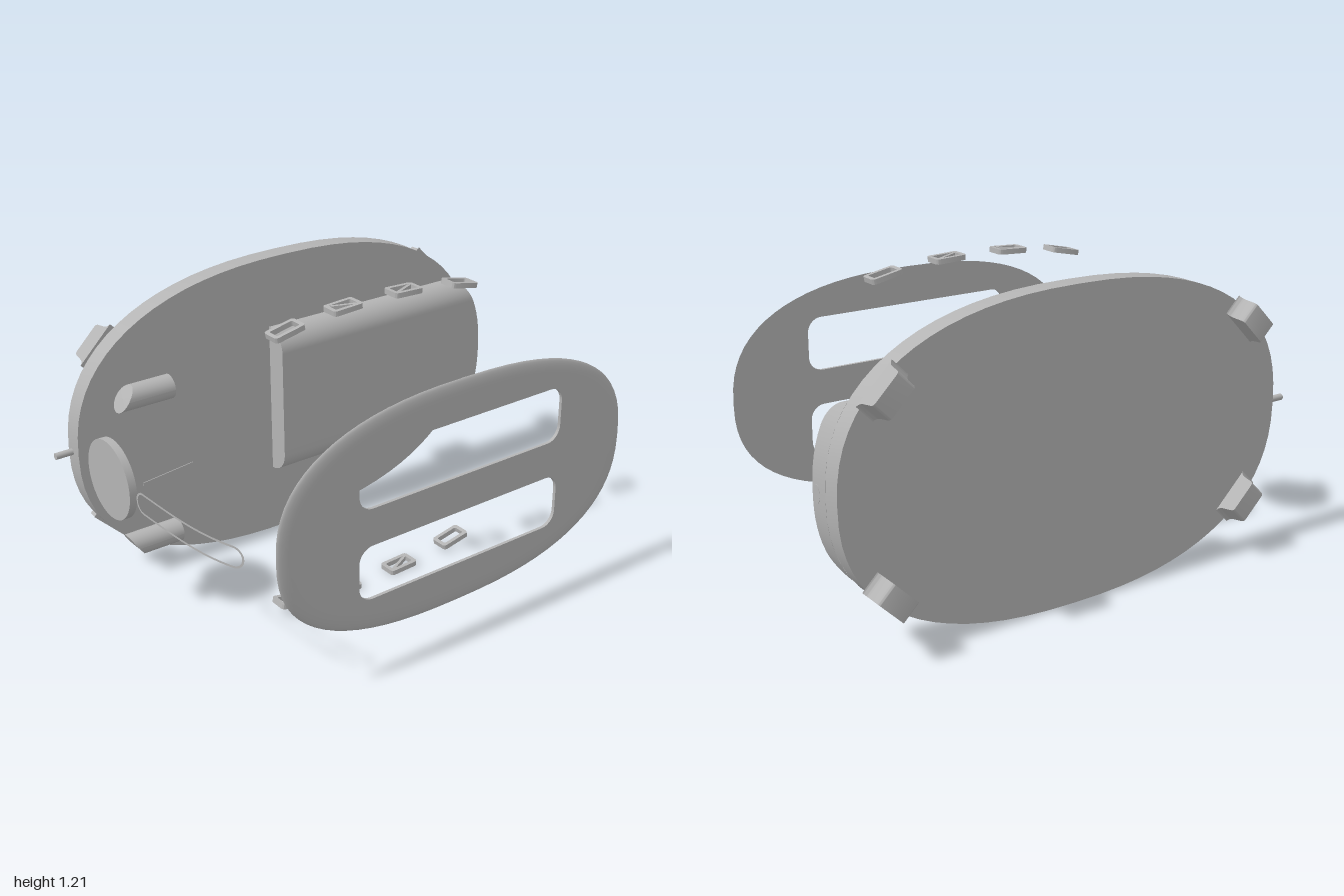
import * as THREE from 'three';
import { toCreasedNormals } from 'three/addons/utils/BufferGeometryUtils.js';

const CX = 0.035, CY = 0.605, A = 0.965, B = 0.604, N = 2.38;

// points of a superellipse
function oval(cx, a, b, n, count = 72) {
  const pts = [];
  for (let i = 0; i < count; i++) {
    const t = (i / count) * Math.PI * 2, c = Math.cos(t), s = Math.sin(t);
    pts.push(new THREE.Vector2(
      cx + a * Math.sign(c) * Math.abs(c) ** (2 / n),
      CY + b * Math.sign(s) * Math.abs(s) ** (2 / n)));
  }
  return pts;
}
// half width and half height of the base outline
const halfX = y => A * Math.max(0, 1 - Math.abs((y - CY) / B) ** N) ** (1 / N);
const halfY = x => B * Math.max(0, 1 - Math.abs((x - CX) / A) ** N) ** (1 / N);

// surface from a rule giving [x, y, z] for every row and column
function grid(rows, cols, rule) {
  const pos = [], idx = [];
  for (let i = 0; i <= rows; i++) for (let j = 0; j <= cols; j++) pos.push(...rule(i, j));
  for (let i = 0; i < rows; i++) for (let j = 0; j < cols; j++) {
    const a = i * (cols + 1) + j, b = a + cols + 1;
    idx.push(a, b, a + 1, b, b + 1, a + 1);
  }
  const g = new THREE.BufferGeometry();
  g.setAttribute('position', new THREE.Float32BufferAttribute(pos, 3));
  g.setIndex(idx);
  g.computeVertexNormals();
  return g;
}

function roundRect(path, x0, y0, x1, y1, r) {
  path.absarc(x1 - r, y0 + r, r, -Math.PI / 2, 0);
  path.absarc(x1 - r, y1 - r, r, 0, Math.PI / 2);
  path.absarc(x0 + r, y1 - r, r, Math.PI / 2, Math.PI);
  path.absarc(x0 + r, y0 + r, r, Math.PI, Math.PI * 1.5);
  path.closePath();
  return path;
}
const extrude = (shape, depth) => toCreasedNormals(
  new THREE.ExtrudeGeometry(shape, { depth, bevelEnabled: false, curveSegments: 10 }), 0.5);

export function createModel() {
  const model = new THREE.Group();
  const grey = new THREE.MeshStandardMaterial({ color: 0xb4b4b4, side: THREE.DoubleSide });
  grey.name = 'plain grey';
  const add = (name, geometry, parent = model) => {
    const mesh = new THREE.Mesh(geometry, grey);
    mesh.name = name;
    parent.add(mesh);
    return mesh;
  };

  // oval back plate
  add('backPlate', extrude(new THREE.Shape(oval(CX, A, B, N)), 0.08)).position.z = -0.55;

  // four flared feet on the rim of the back plate
  const foot = new THREE.Shape();
  foot.moveTo(-0.095, 0);
  foot.quadraticCurveTo(-0.078, 0.005, -0.075, 0.03);
  foot.lineTo(-0.07, 0.062);
  foot.quadraticCurveTo(-0.068, 0.077, -0.055, 0.077);
  foot.lineTo(0.055, 0.077);
  foot.quadraticCurveTo(0.068, 0.077, 0.07, 0.062);
  foot.lineTo(0.075, 0.03);
  foot.quadraticCurveTo(0.078, 0.005, 0.095, 0);
  const footGeo = extrude(foot, 0.085);
  for (const sx of [-1, 1]) for (const sy of [-1, 1]) {
    const out = new THREE.Vector3(sx, sy, 0).normalize();
    const mesh = add('foot', footGeo);
    mesh.quaternion.setFromRotationMatrix(new THREE.Matrix4().makeBasis(
      new THREE.Vector3(out.y, -out.x, 0), new THREE.Vector3(0, 0, -1), out));
    mesh.position.set(CX + sx * 0.79, CY + sy * 0.362, -0.55).addScaledVector(out, -0.045);
  }

  // rounded housing whose outer end follows the plate outline
  const housing = new THREE.Group();
  housing.name = 'housing';
  model.add(housing);
  const R = 0.09, Y0 = 0.29, Y1 = 0.92, profile = [];
  for (let i = 0; i <= 10; i++) {
    const t = (i / 10) * Math.PI / 2;
    profile.push([Y0 + R - R * Math.cos(t), -0.47 + R * Math.sin(t)]);
  }
  for (let i = 1; i < 14; i++) profile.push([Y0 + R + (Y1 - Y0 - 2 * R) * i / 14, -0.38]);
  for (let i = 10; i >= 0; i--) {
    const t = (i / 10) * Math.PI / 2;
    profile.push([Y1 - R + R * Math.cos(t), -0.47 + R * Math.sin(t)]);
  }
  const last = profile.length - 1;
  const endX = y => CX + halfX(y);
  add('housingShell', grid(last, 1, (i, j) => {
    const [y, z] = profile[i];
    return [j ? -0.055 : endX(y), y, z];
  }), housing);
  add('housingOuterEnd', grid(last, 1, (i, j) => {
    const [y, z] = profile[i];
    return [endX(y), y, j ? z : -0.47];
  }), housing);
  add('housingInnerEnd', grid(last, 1, (i, j) => {
    const [y, z] = profile[i];
    return [-0.055, y, j ? -0.47 : z];
  }), housing);
  const port = add('port', new THREE.CylinderGeometry(1, 1, 0.006, 24), housing);
  port.rotation.z = Math.PI / 2;
  port.scale.set(0.034, 1, 0.02);
  port.position.set(0.998, CY, -0.41);

  // front panel with two windows
  const panel = new THREE.Group();
  panel.name = 'frontPanel';
  model.add(panel);
  const PX = 0.03, PA = 0.805, PB = 0.45, PN = 2.5, inset = 0.06, Z0 = 0.612, rise = 0.013;
  const face = new THREE.Shape(oval(PX, PA - inset, PB - inset, PN));
  for (const [lo, hi] of [[0.32, 0.535], [0.68, 0.9]])
    face.holes.push(roundRect(new THREE.Path(), -0.44, lo, 0.5, hi, 0.06));
  add('panelFace', extrude(face, rise), panel).position.z = Z0;
  // curved rim around the panel, closed at the back
  const steps = 6, rings = [];
  for (let i = 0; i <= steps; i++) {
    const t = (i / steps) * Math.PI / 2, d = inset * (1 - Math.cos(t));
    rings.push({ pts: oval(PX, PA - d, PB - d, PN), z: Z0 + rise * Math.sin(t) });
  }
  add('panelRim', grid(72, steps, (i, j) => {
    const p = rings[steps - j].pts[i % 72];
    return [p.x, p.y, rings[steps - j].z];
  }), panel);
  add('panelRimBack', grid(72, 1, (i, j) => {
    const p = rings[j ? steps : 0].pts[i % 72];
    return [p.x, p.y, Z0];
  }), panel);

  // round side cap and short pin
  const cap = add('sideDisc', new THREE.CylinderGeometry(0.155, 0.155, 0.03, 48));
  cap.rotation.z = Math.PI / 2;
  cap.position.set(-0.915, CY, -0.235);
  const pin = add('pin', new THREE.CylinderGeometry(0.013, 0.013, 0.08, 16));
  pin.rotation.z = Math.PI / 2;
  pin.position.set(-0.96, CY, -0.51 - 0.013);

  // two side rods, their outer ends cut along the plate outline
  for (const y of [0.305, 0.905]) {
    const g = new THREE.CylinderGeometry(0.046, 0.046, 1, 32);
    g.rotateZ(Math.PI / 2).translate(0, y, -0.235);
    const p = g.attributes.position;
    for (let i = 0; i < p.count; i++)
      p.setX(i, p.getX(i) < 0 ? CX - halfX(p.getY(i)) : -0.655);
    g.computeVertexNormals();
    add('sideRod', g);
  }

  // thin strip behind the side disc
  const strip = add('strip', new THREE.BoxGeometry(0.21, 0.015, 0.003));
  strip.position.set(-0.76, 0.634, -0.093);
  strip.rotation.z = 0.1;

  // curved slot trim
  const stadium = r => {
    const s = new THREE.Path();
    s.absarc(0.497, CY, r, -Math.PI / 2, Math.PI / 2);
    s.absarc(0.003, CY, r, Math.PI / 2, Math.PI * 1.5);
    s.closePath();
    return s.getSpacedPoints(96);
  };
  const loops = [stadium(0.043), stadium(0.035)];
  add('slotTrim', grid(96, 1, (i, j) => {
    const p = loops[j][i], s = Math.max(0, (p.x + 0.05) / 0.59);
    return [-0.925 + 0.015 * s + 0.06 * s ** 4, p.y, p.x];
  }));

  // small open frames along the top and bottom edges
  const frame = roundRect(new THREE.Shape(), -0.065, -0.04, 0.065, 0.04, 0.014);
  frame.holes.push(roundRect(new THREE.Path(), -0.049, -0.024, 0.049, 0.024, 0.006));
  const frameGeo = extrude(frame, 0.02).rotateX(-Math.PI / 2).translate(0, -0.01, 0);
  for (const side of [-1, 1]) for (const x of [-0.375, -0.12, 0.16, 0.435]) {
    const g = new THREE.Group();
    g.name = 'edgeFrame';
    add('frame', frameGeo, g);
    if (Math.abs(x) < 0.3) {
      const brace = add('brace', new THREE.BoxGeometry(0.11, 0.018, 0.012), g);
      brace.rotation.y = Math.sign(x) * 0.45;
    }
    const slope = (halfY(x + 0.06) - halfY(x - 0.06)) / 0.12;
    g.rotation.z = side * Math.atan(slope);
    g.position.set(x, CY + side * (halfY(x) - 0.012), 0.11);
    model.add(g);
  }
  return model;
}
